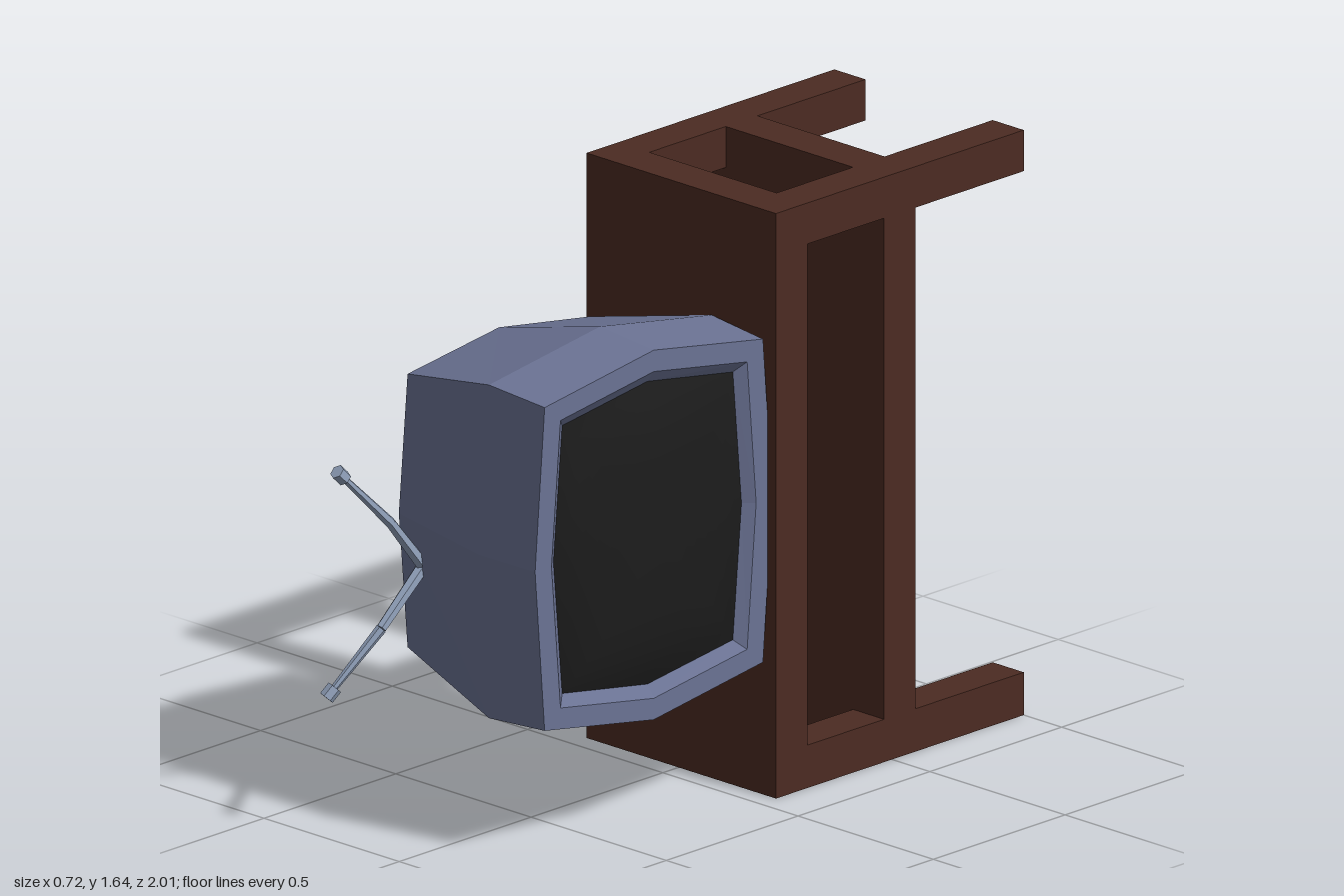
import * as THREE from 'three';
import { mergeVertices } from 'three/addons/utils/BufferGeometryUtils.js';

const paint = (name, color, flatShading = true) => {
  const m = new THREE.MeshStandardMaterial({ color, flatShading });
  m.name = name;
  return m;
};

// Eight-sided outline in the y/z plane: four corners and four bulging mid-sides
const ring = ([x, cy, cz, my, mz]) => [
  [x, my, 0], [x, cy, cz], [x, 0, mz], [x, -cy, cz],
  [x, -my, 0], [x, -cy, -cz], [x, 0, -mz], [x, cy, -cz],
];

// Skin over outlines listed from back to front
function loft(sections) {
  const rings = sections.map(ring);
  const pos = [];
  for (let i = 0; i + 1 < rings.length; i++) {
    for (let j = 0; j < 8; j++) {
      const k = (j + 1) % 8;
      const a = rings[i][j], b = rings[i][k], c = rings[i + 1][k], d = rings[i + 1][j];
      pos.push(...a, ...b, ...c, ...a, ...c, ...d);
    }
  }
  const g = new THREE.BufferGeometry();
  g.setAttribute('position', new THREE.Float32BufferAttribute(pos, 3));
  g.computeVertexNormals();
  return g;
}

export function createModel() {
  const wood = paint('dark wood', 0x4c2b22);
  const shell = paint('blue grey shell', 0x6b7394);
  const glass = paint('black glass', 0x1c1c1c, false);
  const metal = paint('pale metal', 0x92a2bc);
  const model = new THREE.Group();

  const add = (parent, name, geometry, material) => {
    const mesh = new THREE.Mesh(geometry, material);
    mesh.name = name;
    parent.add(mesh);
    return mesh;
  };

  // Table lying on its end: the top faces +z and the legs point to -z
  const table = new THREE.Group();
  table.name = 'table';
  model.add(table);
  const board = (name, x0, x1, y0, y1, z0, z1) =>
    add(table, name, new THREE.BoxGeometry(x1 - x0, y1 - y0, z1 - z0), wood)
      .position.set((x0 + x1) / 2, (y0 + y1) / 2, (z0 + z1) / 2);
  board('tableTop', -0.34, 0.36, 0, 1.64, -0.18, -0.06);
  board('shelf', -0.34, 0.36, 0, 1.64, -0.59, -0.47);
  for (const [x0, x1] of [[-0.34, -0.225], [0.245, 0.36]]) {
    for (const [y0, y1] of [[0, 0.12], [1.525, 1.64]]) {
      board('leg', x0, x1, y0, y1, -1, -0.18);
    }
  }

  // Television, screen towards +x, leaning slightly back
  const tv = new THREE.Group();
  tv.name = 'television';
  tv.position.set(0.11, 0.832, 0.35);
  tv.rotation.y = -0.035;
  model.add(tv);

  // Casing with a bezel and a sloping recess
  add(tv, 'casing', loft([
    [-0.388, 0, 0, 0, 0],
    [-0.388, 0.383, 0.335, 0.433, 0.367],
    [0, 0.467, 0.408, 0.533, 0.445],
    [0.205, 0.453, 0.4, 0.518, 0.435],
    [0.205, 0.403, 0.342, 0.458, 0.375],
    [0.18, 0.375, 0.312, 0.424, 0.344],
  ]), shell);

  // Gently domed screen
  const dome = [];
  for (let i = 0; i <= 8; i++) {
    const k = 1 - i / 8;
    dome.push([0.178 + 0.05 * (1 - k ** 4), 0.381 * k, 0.318 * k, 0.43 * k, 0.35 * k]);
  }
  const screen = loft(dome);
  screen.deleteAttribute('normal');
  const smoothScreen = mergeVertices(screen);
  smoothScreen.computeVertexNormals();
  add(tv, 'screen', smoothScreen, glass);

  // Tube housing on the back
  add(tv, 'backHousing', loft([
    [-0.473, 0, 0, 0, 0],
    [-0.473, 0.15, 0.13, 0.175, 0.14],
    [-0.38, 0.175, 0.155, 0.2, 0.163],
  ]), shell).position.set(0, 0.008, -0.095);

  // Pair of tapered, slightly bent antennas with knobs
  const rod = (from, to, r0, r1) => {
    const dir = to.clone().sub(from);
    const mesh = add(model, 'antennaRod', new THREE.CylinderGeometry(r1, r0, dir.length(), 6), metal);
    mesh.position.copy(from).addScaledVector(dir, 0.5);
    mesh.quaternion.setFromUnitVectors(new THREE.Vector3(0, 1, 0), dir.normalize());
    return mesh.quaternion;
  };
  const base = new THREE.Vector3(-0.203, 0.705, 0.7);
  for (const [bend, tip] of [
    [[-0.218, 0.85, 0.81], [-0.238, 1.02, 0.978]],
    [[-0.222, 0.56, 0.84], [-0.278, 0.4, 0.975]],
  ]) {
    const b = new THREE.Vector3(...bend), t = new THREE.Vector3(...tip);
    rod(base, b, 0.019, 0.015);
    const q = rod(b, t, 0.015, 0.009);
    const knob = add(model, 'antennaKnob', new THREE.CylinderGeometry(0.021, 0.021, 0.036, 6), metal);
    knob.position.copy(t);
    knob.quaternion.copy(q);
  }

  return model;
}
